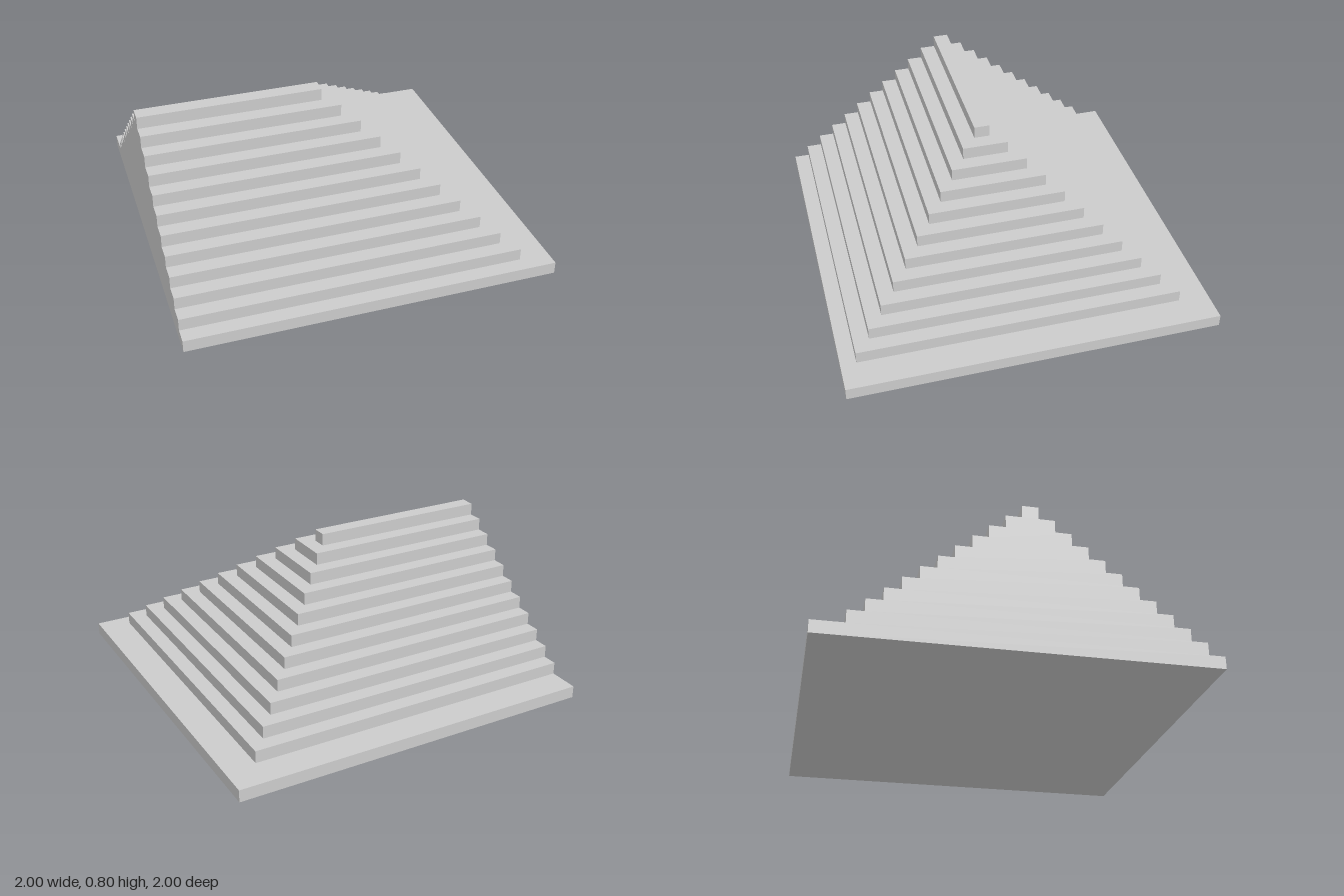
import * as THREE from 'three';

const STEPS = 12;
const RISE = 0.8 / STEPS; // height of one step
const TREAD = 1 / STEPS;  // depth of one step

export function createModel() {
  const group = new THREE.Group();
  group.name = 'steppedHalfPyramid';
  const material = new THREE.MeshStandardMaterial({ color: 0xcccccc, flatShading: true });

  // One slab spanning the given bounds, flush with the sheer side at x = -1
  function addSlab(name, level, xMax, zMin, zMax) {
    const width = xMax + 1;
    const depth = zMax - zMin;
    const slab = new THREE.Mesh(new THREE.BoxGeometry(width, RISE, depth), material);
    slab.name = name;
    slab.position.set(xMax - width / 2, (level + 0.5) * RISE, (zMin + zMax) / 2);
    group.add(slab);
  }

  // Square base slab
  addSlab('base', 0, 1, -1, 1);

  // Steps: the side and back start one extra tread in from the base edge
  for (let i = 1; i < STEPS; i++) {
    const inner = 1 - (i + 1) * TREAD;
    addSlab(`step${i}`, i, inner, -inner, 1 - i * TREAD);
  }

  return group;
}
